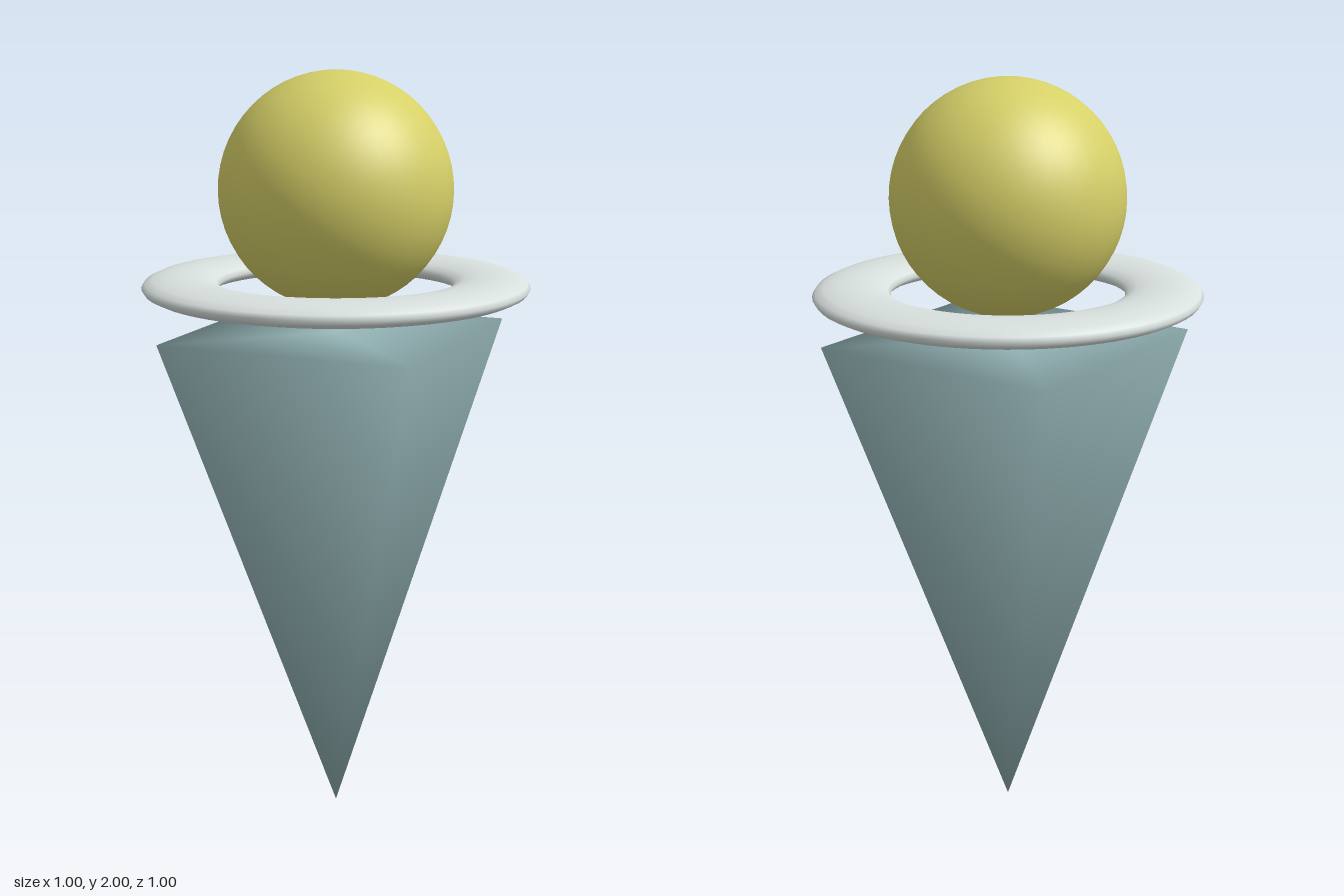
import * as THREE from 'three';
import { mergeVertices } from 'three/addons/utils/BufferGeometryUtils.js';

export function createModel() {
  const model = new THREE.Group();
  model.name = 'hoveringMarker';

  const material = (name, color) => {
    const m = new THREE.MeshStandardMaterial({ color });
    m.name = name;
    return m;
  };
  const add = (name, geometry, mat, y) => {
    const mesh = new THREE.Mesh(geometry, mat);
    mesh.name = name;
    mesh.position.y = y;
    model.add(mesh);
  };

  // Square spike pointing down, with normals shared across all its corners
  const height = 1.335;
  let spike = new THREE.ConeGeometry(0.342 * Math.SQRT2, height, 4);
  spike.rotateY(Math.PI / 4).rotateX(Math.PI);
  spike.deleteAttribute('normal');
  spike.deleteAttribute('uv');
  spike = mergeVertices(spike, 1e-4);
  spike.computeVertexNormals();
  add('spike', spike, material('paleTeal', 0x9bbcbe), height / 2);

  // Flattened ring
  const ring = new THREE.TorusGeometry(0.4, 0.1, 16, 64);
  ring.rotateX(Math.PI / 2).scale(1, 0.32, 1);
  add('ring', ring, material('paleGrey', 0xd8e0de), 1.457);

  // Ball resting in the ring
  add('ball', new THREE.SphereGeometry(0.3, 40, 28), material('mustardYellow', 0xd6d068), 1.7);

  return model;
}
